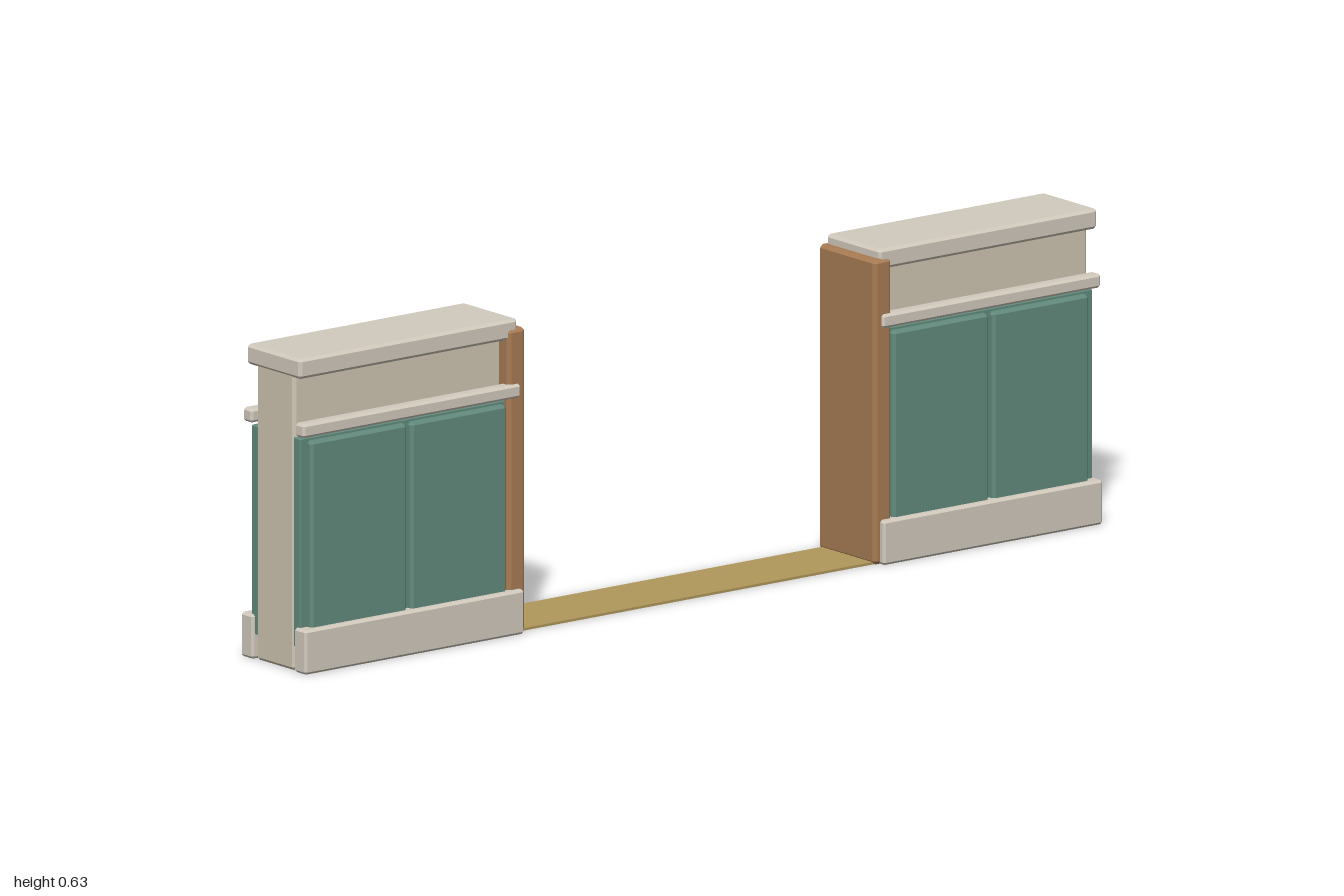
import * as THREE from 'three';
import { ConvexGeometry } from 'three/addons/geometries/ConvexGeometry.js';

const paint = (color) => new THREE.MeshStandardMaterial({ color });

// Box given by its limits, with every edge chamfered by c
function chamferBox(name, material, [x0, x1], [y0, y1], [z0, z1], c) {
  const half = [(x1 - x0) / 2, (y1 - y0) / 2, (z1 - z0) / 2];
  const points = [];
  for (const sx of [-1, 1]) for (const sy of [-1, 1]) for (const sz of [-1, 1]) {
    for (let axis = 0; axis < 3; axis++) {
      const [x, y, z] = half.map((h, i) => (i === axis ? h : h - c));
      points.push(new THREE.Vector3(sx * x, sy * y, sz * z));
    }
  }
  const mesh = new THREE.Mesh(new ConvexGeometry(points), material);
  mesh.name = name;
  mesh.position.set((x0 + x1) / 2, (y0 + y1) / 2, (z0 + z1) / 2);
  return mesh;
}

export function createModel() {
  const model = new THREE.Group();
  model.name = 'gatewayWalls';
  const trim = paint(0xd2cabd);
  const plaster = paint(0xcfc5b2);
  const teal = paint(0x628a7d);
  const wood = paint(0xa87c54);
  const gold = paint(0xb0985c);

  for (const side of [-1, 1]) {
    const wall = new THREE.Group();
    wall.name = side > 0 ? 'leftWall' : 'rightWall';
    // x limits are measured outward from the middle of the opening
    const add = (name, material, [a, b], y, z, c) =>
      wall.add(chamferBox(name, material, side > 0 ? [a, b] : [-b, -a], y, z, c));

    // Wall body, coping and timber jamb facing the opening
    add('wallCore', plaster, [0.45, 0.995], [0, 0.605], [-0.06, 0.06], 0.006);
    add('coping', trim, [0.453, 1], [0.594, 0.635], [-0.085, 0.085], 0.006);
    add('jamb', wood, [0.437, 0.481], [0, 0.616], [-0.09, 0.09], 0.007);

    // Cladding, the same on both faces
    for (const face of [-1, 1]) {
      const depth = (a, b) => (face > 0 ? [a, b] : [-b, -a]);
      add('panelBacking', teal, [0.478, 0.993], [0.05, 0.472], depth(0.055, 0.077), 0.002);
      for (const x of [[0.484, 0.724], [0.734, 0.975]]) {
        add('panel', teal, x, [0.07, 0.466], depth(0.068, 0.09), 0.006);
      }
      add('plinth', trim, [0.45, 1], [0, 0.09], depth(0.065, 0.103), 0.005);
      add('rail', trim, [0.453, 1], [0.477, 0.505], depth(0.068, 0.096), 0.005);
    }
    model.add(wall);
  }

  // Threshold strip across the opening
  const threshold = new THREE.Mesh(new THREE.BoxGeometry(0.89, 0.005, 0.16), gold);
  threshold.name = 'threshold';
  threshold.position.y = 0.0025;
  model.add(threshold);
  return model;
}
